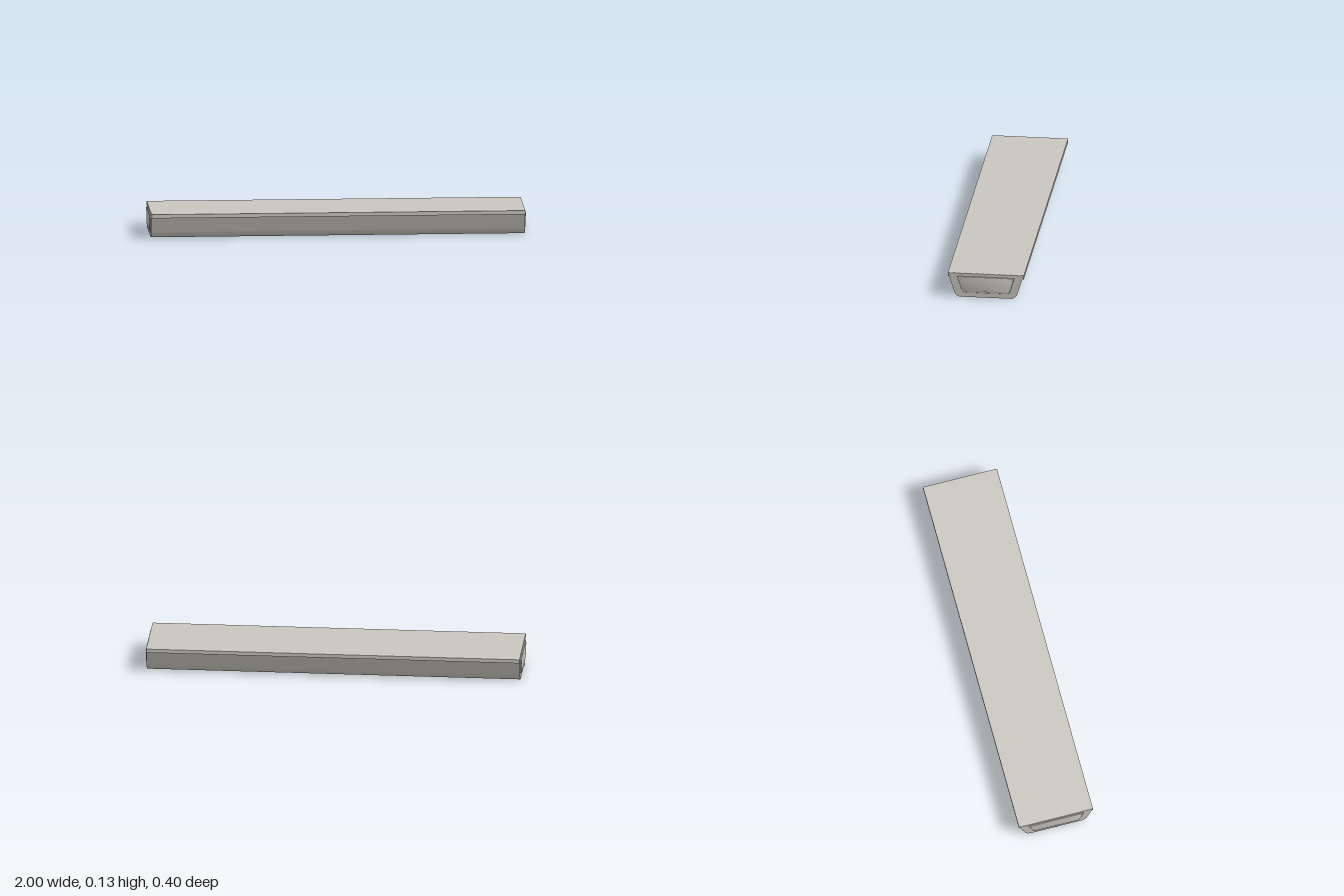
import * as THREE from 'three';
import { toCreasedNormals } from 'three/addons/utils/BufferGeometryUtils.js';

const metal = new THREE.MeshStandardMaterial({ color: 0xc9c7bf });
metal.name = 'warm grey metal';

// Symmetric tapered trough section: wide flat top, rounded lower corners
function troughShape(topHalf, top, sideHalf, sideY, bottomHalf, bottom) {
  const cornerX = sideHalf - (topHalf - sideHalf) * (sideY - bottom) / (top - sideY) * 0.7;
  const cy = bottom + (sideY - bottom) * 0.3;
  const s = new THREE.Shape();
  s.moveTo(-topHalf, top);
  s.lineTo(-sideHalf, sideY);
  s.bezierCurveTo(-cornerX, cy, -bottomHalf - 0.018, bottom, -bottomHalf, bottom);
  s.lineTo(bottomHalf, bottom);
  s.bezierCurveTo(bottomHalf + 0.018, bottom, cornerX, cy, sideHalf, sideY);
  s.lineTo(topHalf, top);
  s.closePath();
  return s;
}

// Extrude a z-y section along x, starting at x0
function extrudeX(name, shape, x0, depth, bevel = {}) {
  const geo = new THREE.ExtrudeGeometry(shape, { depth, curveSegments: 16, bevelEnabled: false, ...bevel });
  geo.rotateY(Math.PI / 2);
  geo.translate(x0, 0, 0);
  const mesh = new THREE.Mesh(toCreasedNormals(geo, 0.6), metal);
  mesh.name = name;
  return mesh;
}

function screw(name, x, y, z, radius, height) {
  const geo = new THREE.CylinderGeometry(radius * 0.85, radius, height, 20);
  geo.rotateZ(-Math.PI / 2);
  const mesh = new THREE.Mesh(geo, metal);
  mesh.name = name;
  mesh.position.set(x + height / 2, y, z);
  return mesh;
}

export function createModel() {
  const model = new THREE.Group();
  model.name = 'lightFixture';

  // Long rounded trough
  model.add(extrudeX('trough', troughShape(0.198, 0.128, 0.17, 0.037, 0.132, 0), -0.982, 1.964));

  // Cover with lips folded down over the long sides
  const cover = new THREE.Shape();
  [[-0.202, 0.113], [-0.198, 0.113], [-0.198, 0.126], [0.198, 0.126], [0.198, 0.113],
    [0.202, 0.113], [0.202, 0.133], [-0.202, 0.133]].forEach(([z, y], i) => (i ? cover.lineTo(z, y) : cover.moveTo(z, y)));
  cover.closePath();
  model.add(extrudeX('cover', cover, -0.987, 1.974));

  // End caps, one mirrored by rotation
  for (const side of [1, -1]) {
    const end = new THREE.Group();
    end.name = side > 0 ? 'leftEnd' : 'rightEnd';
    end.add(extrudeX('endCap', troughShape(0.2, 0.1325, 0.171, 0.037, 0.132, 0), 0.981, 0.008));
    // Raised centre panel with a soft sloping edge
    end.add(extrudeX('raisedPanel', troughShape(0.152, 0.116, 0.131, 0.046, 0.106, 0.026), 0.989, 0.001, {
      bevelEnabled: true, bevelThickness: 0.005, bevelSize: 0.006, bevelOffset: -0.006, bevelSegments: 2,
    }));
    end.add(screw('centreScrew', 0.99, 0.033, 0, 0.007, 0.01));
    for (const z of [-0.138, 0.138]) end.add(screw('cornerScrew', 0.99, 0.101, z, 0.0045, 0.0062));
    if (side < 0) end.rotation.y = Math.PI;
    model.add(end);
  }
  return model;
}
